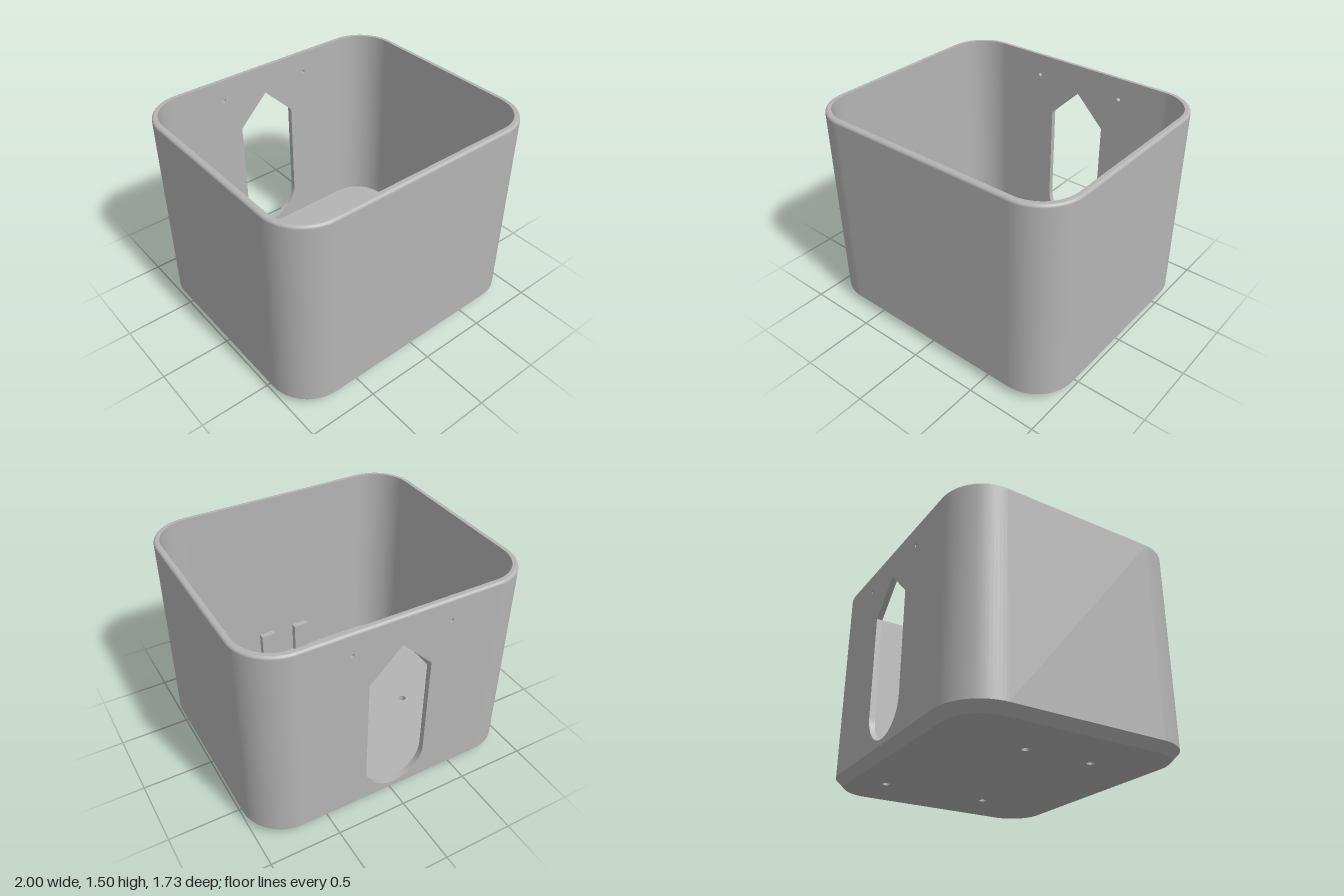
import * as THREE from 'three';
import { toCreasedNormals } from 'three/addons/utils/BufferGeometryUtils.js';

const HX = 1, HZ = 0.865, H = 1.5; // half width, half depth, height
const R = 0.3;                     // plan corner radius
const WALL = 0.04, FLOOR = 0.055, CHAMFER = 0.06, FILLET = 0.02;
const N = 20;                      // steps per corner

// Rounded-rectangle plan, as points with outward directions
function plan(inset) {
  const pts = [];
  for (let q = 0; q < 4; q++) {
    const sx = q === 0 || q === 3 ? 1 : -1, sz = q < 2 ? 1 : -1;
    for (let i = 0; i <= N; i++) {
      const a = (q + i / N) * Math.PI / 2, c = Math.cos(a), s = Math.sin(a);
      pts.push({ x: sx * (HX - R) + (R - inset) * c, z: sz * (HZ - R) + (R - inset) * s, c, s });
    }
  }
  return pts;
}

// Sweeps profile bands round the plan; a band is [inset, y, inset, y, normals, skipBack]
function sweep(bands) {
  const pos = [], nor = [], idx = [];
  for (const { from, to, n0, n1 = n0, skipBack } of bands) {
    const base = pos.length / 3, count = 4 * (N + 1);
    for (const [[inset, y], [out, up]] of [[from, n0], [to, n1]]) {
      for (const p of plan(inset)) {
        pos.push(p.x, y, p.z);
        nor.push(p.c * out, up, p.s * out);
      }
    }
    for (let i = 0; i < count; i++) {
      if (skipBack && i === 3 * (N + 1) - 1) continue;
      const a = base + i, b = base + (i + 1) % count;
      idx.push(a, a + count, b, b, a + count, b + count);
    }
  }
  const g = new THREE.BufferGeometry();
  g.setAttribute('position', new THREE.Float32BufferAttribute(pos, 3));
  g.setAttribute('normal', new THREE.Float32BufferAttribute(nor, 3));
  g.setIndex(idx);
  return g;
}

function circleHole(x, y, r) {
  return new THREE.Path().absarc(x, y, r, 0, Math.PI * 2, true);
}

function extrude(shape, depth) {
  return toCreasedNormals(new THREE.ExtrudeGeometry(shape, { depth, bevelEnabled: false, curveSegments: 24 }), 0.5);
}

export function createModel() {
  const model = new THREE.Group();
  model.name = 'openBox';
  const grey = new THREE.MeshStandardMaterial({ color: 0xb4b4b4 });
  grey.name = 'grey';
  const add = (name, geometry) => {
    const mesh = new THREE.Mesh(geometry, grey);
    mesh.name = name;
    model.add(mesh);
    return mesh;
  };

  // Wall shell: chamfered foot, outer wall, rounded rim, inner wall, floor edge
  const yTop = H - FILLET, d = Math.SQRT1_2;
  const bands = [
    { from: [CHAMFER, 0], to: [0, CHAMFER], n0: [d, -d] },
    { from: [0, CHAMFER], to: [0, yTop], n0: [1, 0], skipBack: true },
  ];
  const arc = (t) => [Math.cos(t), Math.sin(t)];
  const steps = 5;
  for (let i = 0; i < steps; i++) {
    const n0 = arc(i / steps * Math.PI / 2), n1 = arc((i + 1) / steps * Math.PI / 2);
    const at = ([c, s]) => [FILLET * (1 - c), yTop + FILLET * s];
    bands.push({ from: at(n0), to: at(n1), n0, n1 });
  }
  bands.push(
    { from: [FILLET, H], to: [WALL, H], n0: [0, 1] },
    { from: [WALL, H], to: [WALL, yTop], n0: [-1, 0] },
    { from: [WALL, yTop], to: [WALL, CHAMFER], n0: [-1, 0], skipBack: true },
    { from: [WALL, CHAMFER], to: [WALL, FLOOR], n0: [-1, 0] },
    { from: [WALL, FLOOR], to: [CHAMFER, FLOOR], n0: [0, 1] },
  );
  add('wallShell', sweep(bands));

  // Back panel with a pointed-top, round-bottomed opening and two screw holes
  const w = HX - R, r = 0.225;
  const panel = new THREE.Shape([
    new THREE.Vector2(-w, CHAMFER), new THREE.Vector2(w, CHAMFER),
    new THREE.Vector2(w, yTop), new THREE.Vector2(-w, yTop),
  ]);
  const opening = new THREE.Path();
  opening.moveTo(0, 1.285);
  opening.lineTo(-r, 1.06);
  opening.lineTo(-r, 0.325);
  opening.absarc(0, 0.325, r, Math.PI, Math.PI * 2, false);
  opening.lineTo(r, 1.06);
  opening.closePath();
  panel.holes.push(opening, circleHole(0.35, 1.34, 0.014), circleHole(-0.35, 1.34, 0.014));
  add('backPanel', extrude(panel, WALL)).position.z = -HZ;

  // Floor with four mounting holes
  const floor = new THREE.Shape(plan(CHAMFER).map((p) => new THREE.Vector2(p.x, p.z)));
  for (const [x, z] of [[-0.55, -0.155], [-0.55, 0.345], [0.563, -0.567], [0.563, 0.215]]) {
    floor.holes.push(circleHole(x, -z, 0.026));
  }
  add('floor', extrude(floor, FLOOR).rotateX(-Math.PI / 2));

  // Small stops on the inside of the front wall
  for (const x of [-0.15, 0.145]) {
    const stop = add('frontStop', new THREE.BoxGeometry(0.12, 0.26, 0.055));
    stop.position.set(x, FLOOR + 0.125, 0.8075);
  }
  return model;
}
